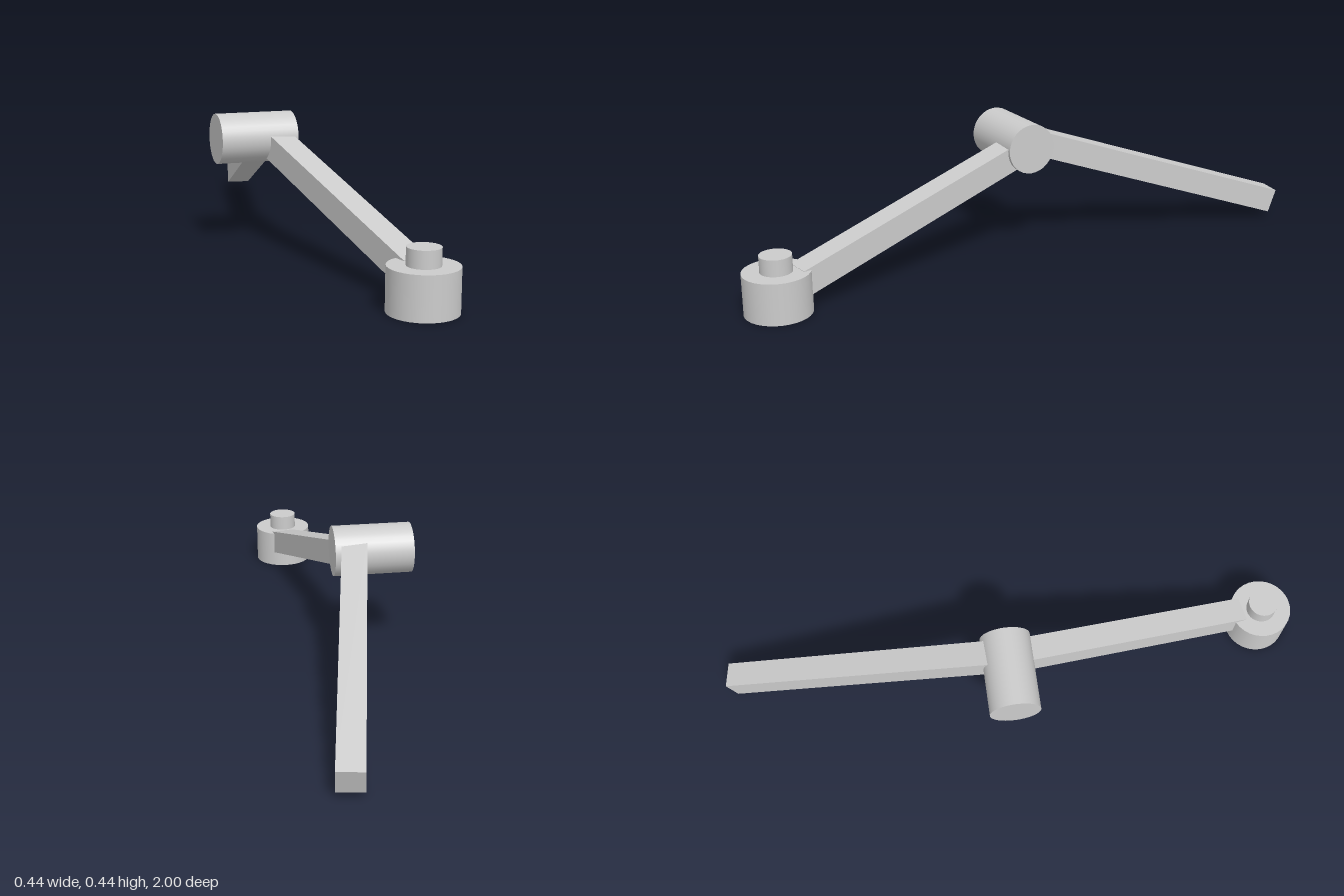
import * as THREE from 'three';

const material = new THREE.MeshStandardMaterial({ color: 0xcccccc });

function cylinder(name, radius, length, x, y, z) {
  const mesh = new THREE.Mesh(new THREE.CylinderGeometry(radius, radius, length, 32), material);
  mesh.name = name;
  mesh.position.set(x, y, z);
  return mesh;
}

// Square bar running between two points
function bar(name, from, to, size = 0.084) {
  const a = new THREE.Vector3(...from);
  const b = new THREE.Vector3(...to);
  const mesh = new THREE.Mesh(new THREE.BoxGeometry(size, size, a.distanceTo(b)), material);
  mesh.name = name;
  mesh.position.copy(a).lerp(b, 0.5);
  mesh.lookAt(b);
  return mesh;
}

export function createModel() {
  const model = new THREE.Group();
  model.name = 'jointedArm';

  // Round base with its pin
  model.add(cylinder('base', 0.105, 0.133, 0.113, 0.0665, 0.895));
  model.add(cylinder('basePin', 0.05, 0.1, 0.113, 0.136, 0.895));

  // Sideways drum at the elbow
  const elbow = cylinder('elbowDrum', 0.084, 0.263, -0.0885, 0.361, -0.026);
  elbow.rotation.z = Math.PI / 2;
  model.add(elbow);

  // Two arms sloping down from the elbow
  model.add(bar('frontArm', [-0.021, 0.344, 0], [0.118, 0.094, 0.82]));
  model.add(bar('rearArm', [-0.029, 0.377, -0.05], [0.135, 0.06, -0.98]));

  return model;
}
